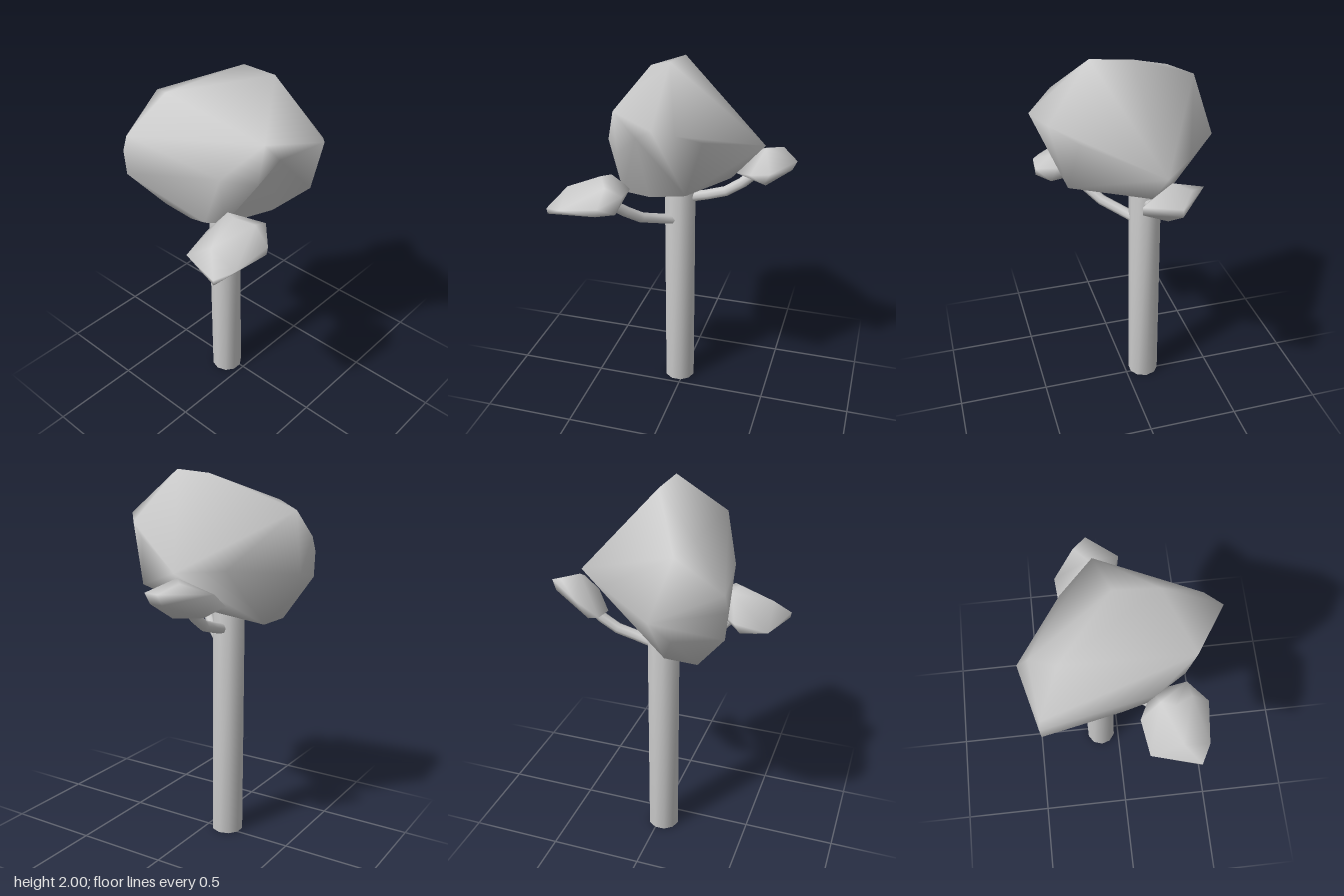
import * as THREE from 'three';
import { ConvexGeometry } from 'three/addons/geometries/ConvexGeometry.js';
import { mergeVertices } from 'three/addons/utils/BufferGeometryUtils.js';

const material = new THREE.MeshStandardMaterial({ color: 0xcccccc });
const vec = (p) => new THREE.Vector3(...p);

// Mesh whose corners are welded, so shading runs softly over every edge
function softMesh(name, geometry) {
  geometry.deleteAttribute('normal');
  geometry.deleteAttribute('uv');
  const welded = mergeVertices(geometry, 1e-4);
  welded.computeVertexNormals();
  const mesh = new THREE.Mesh(welded, material);
  mesh.name = name;
  return mesh;
}

// Leaf mass: hull around a few corner points; each dent pulls one corner inward
function foliage(name, corners, dents = []) {
  const geometry = new ConvexGeometry([...corners, ...dents.map((d) => d.from)].map(vec));
  const position = geometry.attributes.position;
  const corner = new THREE.Vector3();
  for (const { from, to } of dents) {
    for (let i = 0; i < position.count; i++) {
      corner.fromBufferAttribute(position, i);
      if (corner.distanceTo(vec(from)) < 1e-4) position.setXYZ(i, ...to);
    }
  }
  return softMesh(name, geometry);
}

// Bent round limb through a few points
function branch(name, points, radius) {
  const curve = new THREE.CatmullRomCurve3(points.map(vec));
  return softMesh(name, new THREE.TubeGeometry(curve, 4, radius, 8));
}

export function createModel() {
  const tree = new THREE.Group();
  tree.name = 'tree';

  // Trunk
  const trunk = softMesh('trunk', new THREE.CylinderGeometry(0.087, 0.087, 1.29, 10));
  trunk.position.set(-0.11, 0.645, 0.025);
  tree.add(trunk);

  // Main crown: top ridge, shoulders, widest ring, underside, hollow on the left
  tree.add(foliage('crown', [
    [0.19, 2.0, -0.01], [-0.02, 1.985, -0.03], [-0.1, 1.94, 0.05],
    [-0.29, 1.845, 0.24], [-0.42, 1.8, 0.18], [0.34, 1.785, 0.23],
    [0.495, 1.76, -0.01], [0.42, 1.72, -0.1], [0.29, 1.65, -0.2],
    [-0.08, 1.53, -0.44], [-0.26, 1.53, -0.25], [-0.5, 1.49, 0.08],
    [-0.4, 1.64, 0.42], [-0.41, 1.56, 0.44], [-0.41, 1.42, 0.43],
    [0.15, 1.57, 0.33], [0.3, 1.55, 0.23], [-0.46, 1.39, 0.18],
    [0.34, 1.39, -0.13], [0.27, 1.33, 0.08], [0.1, 1.25, 0.12],
    [0.12, 1.275, 0.27], [0, 1.235, 0.29], [-0.1, 1.215, 0.29],
    [-0.29, 1.2, 0.09], [-0.31, 1.205, 0.27], [-0.06, 1.34, -0.27],
  ], [{ from: [0.47, 1.69, 0.13], to: [0.34, 1.66, 0.12] }]));

  // Front side tuft and its branch
  tree.add(foliage('frontTuft', [
    [0.08, 1.26, 0.35], [0.11, 1.22, 0.53], [0.36, 1.24, 0.605],
    [0.36, 1.21, 0.6], [0.41, 1.26, 0.51], [0.43, 1.3, 0.3],
    [0.43, 1.26, 0.31], [0.33, 1.34, 0.2], [0.18, 1.39, 0.31],
    [0.25, 1.405, 0.34], [0.34, 1.38, 0.29], [0.1, 1.2, 0.38],
    [0.16, 1.18, 0.45], [0.3, 1.19, 0.42], [0.36, 1.25, 0.23],
    [0.15, 1.31, 0.22], [0.27, 1.335, 0.52],
  ]));
  tree.add(branch('frontBranch', [
    [-0.06, 1.06, 0.04], [0.02, 1.09, 0.12], [0.1, 1.125, 0.19], [0.22, 1.24, 0.31],
  ], 0.029));

  // Back side tuft and its branch
  tree.add(foliage('backTuft', [
    [-0.1, 1.455, -0.605], [-0.11, 1.4, -0.58], [0.06, 1.43, -0.49],
    [0.05, 1.37, -0.46], [0, 1.39, -0.38], [-0.17, 1.5, -0.52],
    [-0.1, 1.51, -0.44], [-0.28, 1.44, -0.39], [-0.27, 1.36, -0.27],
    [-0.14, 1.34, -0.27], [-0.2, 1.31, -0.36], [-0.08, 1.31, -0.45],
  ]));
  tree.add(branch('backBranch', [
    [-0.11, 1.18, -0.03], [-0.11, 1.21, -0.14], [-0.12, 1.25, -0.26], [-0.13, 1.36, -0.39],
  ], 0.029));

  return tree;
}
